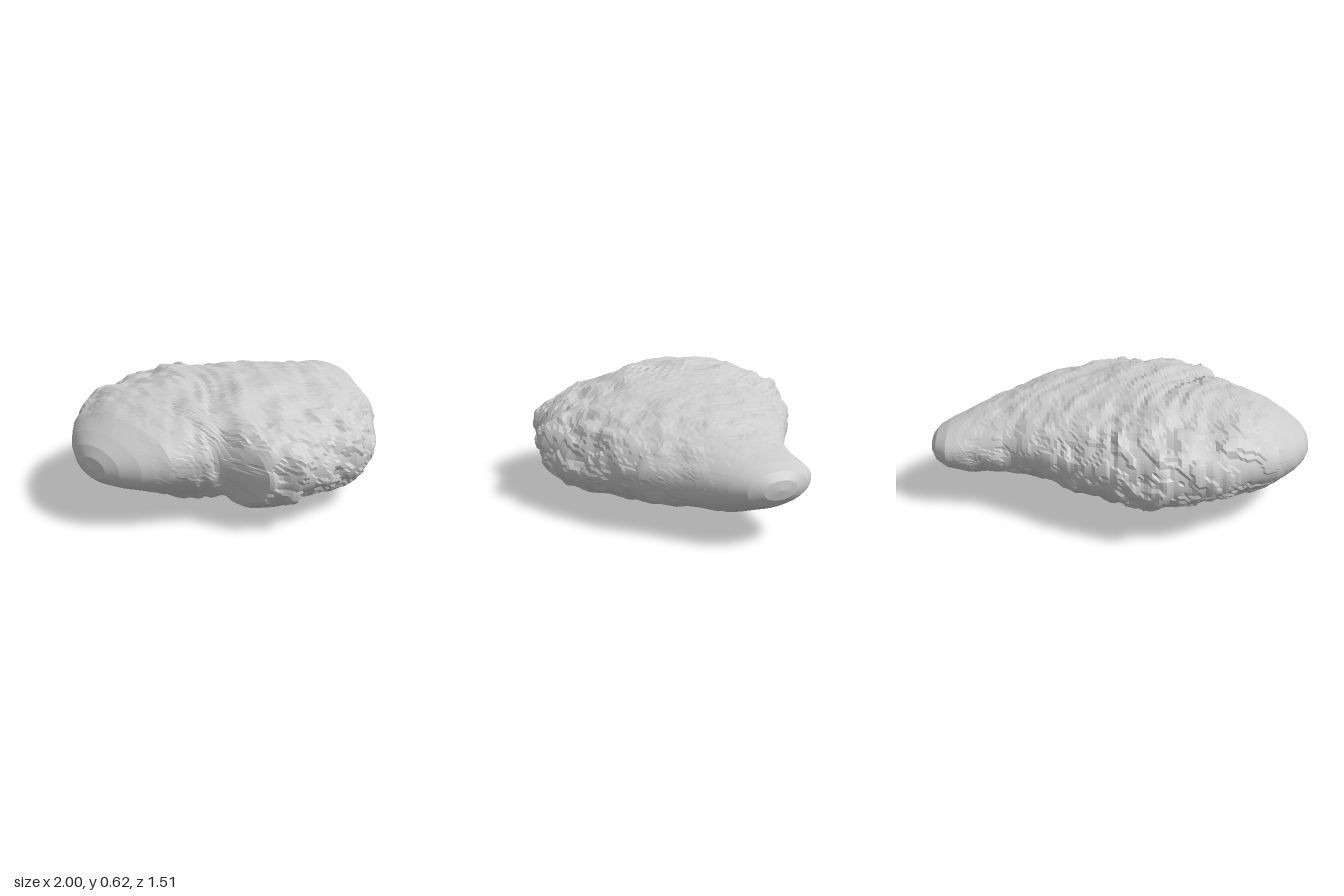
import * as THREE from 'three';

// Cross-sections along x: [x, back z, front z, bottom y, top y]
const SECTIONS = [
  [-1, -0.15, -0.15, 0.30, 0.30],
  [-0.99, -0.24, -0.06, 0.255, 0.36],
  [-0.96, -0.32, 0.01, 0.225, 0.405],
  [-0.9, -0.42, 0.10, 0.195, 0.45],
  [-0.8, -0.53, 0.20, 0.155, 0.51],
  [-0.7, -0.59, 0.26, 0.12, 0.55],
  [-0.61, -0.64, 0.34, 0.09, 0.57],
  [-0.52, -0.68, 0.58, 0.07, 0.585],
  [-0.4, -0.70, 0.68, 0.05, 0.60],
  [-0.2, -0.74, 0.70, 0.035, 0.61],
  [0, -0.66, 0.74, 0.025, 0.60],
  [0.2, -0.57, 0.66, 0.04, 0.57],
  [0.4, -0.46, 0.53, 0.085, 0.545],
  [0.6, -0.38, 0.39, 0.11, 0.50],
  [0.8, -0.38, 0.16, 0.145, 0.44],
  [0.9, -0.37, 0.06, 0.18, 0.41],
  [0.96, -0.32, -0.01, 0.215, 0.38],
  [0.99, -0.25, -0.08, 0.25, 0.345],
  [1, -0.17, -0.17, 0.30, 0.30],
];

function sectionAt(x) {
  let k = 0;
  while (k < SECTIONS.length - 2 && x > SECTIONS[k + 1][0]) k++;
  const a = SECTIONS[k], b = SECTIONS[k + 1];
  const t = (x - a[0]) / (b[0] - a[0]);
  return a.map((v, i) => v + (b[i] - v) * t);
}

// Repeatable lattice noise in 0..1
function hash(x, y, z) {
  const s = Math.sin(x * 127.1 + y * 311.7 + z * 74.7) * 43758.5453;
  return s - Math.floor(s);
}
function noise(x, y, z) {
  const X = Math.floor(x), Y = Math.floor(y), Z = Math.floor(z);
  const soft = t => t * t * (3 - 2 * t);
  const u = soft(x - X), v = soft(y - Y), w = soft(z - Z);
  let sum = 0;
  for (let c = 0; c < 8; c++) {
    const i = c & 1, j = (c >> 1) & 1, k = c >> 2;
    sum += hash(X + i, Y + j, Z + k) * (i ? u : 1 - u) * (j ? v : 1 - v) * (k ? w : 1 - w);
  }
  return sum;
}

// The curved fold between the two lobes, as x for a given z
const foldX = z => -0.16 - 0.42 / (1 + Math.exp(-(z - 0.14) * 8)) + 0.12 / (1 + Math.exp((z + 0.1) * 8));

// Surface relief: fold, strata running along it, and chipped ledges
function relief(x, y, z) {
  const s = x - foldX(z);
  const tips = THREE.MathUtils.smoothstep(1 - Math.abs(x), 0.04, 0.4);
  const fade = THREE.MathUtils.smoothstep(z, -0.3, 0.35);
  const fold = -0.045 * fade * Math.exp(-((s + 0.06) ** 2) / 0.006);
  const near = Math.exp(-s * s / 0.05);
  const strata = (noise(s * 26, y * 8, z * 4) - 0.5) * (0.012 + 0.022 * near);
  const rim = THREE.MathUtils.smoothstep(Math.abs(z), 0.25, 0.65);
  const ledge = Math.floor(noise(x * 13 + 5, y * 16, z * 13) * 5) / 4 - 0.45;
  const lumps = (noise(x * 5 + 9, y * 5, z * 5) - 0.5) * 0.04;
  return fold + tips * (strata + ledge * (0.016 + 0.024 * rim) + lumps);
}

function buildRock() {
  const rows = 150, cols = 130;
  const positions = [], index = [];
  for (let i = 0; i <= rows; i++) {
    const x0 = -Math.cos(Math.PI * i / rows) * 0.65 + (2 * i / rows - 1) * 0.35;
    const [x, back, front, low, high] = sectionAt(x0);
    const hw = (front - back) / 2, hh = (high - low) / 2;
    for (let j = 0; j < cols; j++) {
      const a = 2 * Math.PI * j / cols;
      const c = Math.cos(a), s = Math.sin(a);
      let z = (front + back) / 2 + hw * Math.sign(c) * Math.abs(c) ** 0.95;
      let y = (low + high) / 2 + hh * Math.sign(s) * Math.abs(s) ** 0.95 - 0.05 * z;
      // push along the outward direction of the section
      const n = new THREE.Vector2(c * hh, s * hw).normalize();
      const d = relief(x, y, z);
      z += n.x * d;
      y += n.y * d;
      positions.push(x, y, z);
      if (i < rows) {
        const p = i * cols + j, q = i * cols + (j + 1) % cols;
        index.push(p, p + cols, q, q, p + cols, q + cols);
      }
    }
  }
  const geometry = new THREE.BufferGeometry();
  geometry.setAttribute('position', new THREE.Float32BufferAttribute(positions, 3));
  geometry.setIndex(index);
  geometry.computeBoundingBox();
  geometry.translate(0, -geometry.boundingBox.min.y, 0);
  geometry.computeVertexNormals();
  return geometry;
}

export function createModel() {
  const group = new THREE.Group();
  const rock = new THREE.Mesh(buildRock(),
    new THREE.MeshStandardMaterial({ color: 0xcccccc, flatShading: true }));
  rock.name = 'rock';
  group.add(rock);
  return group;
}
